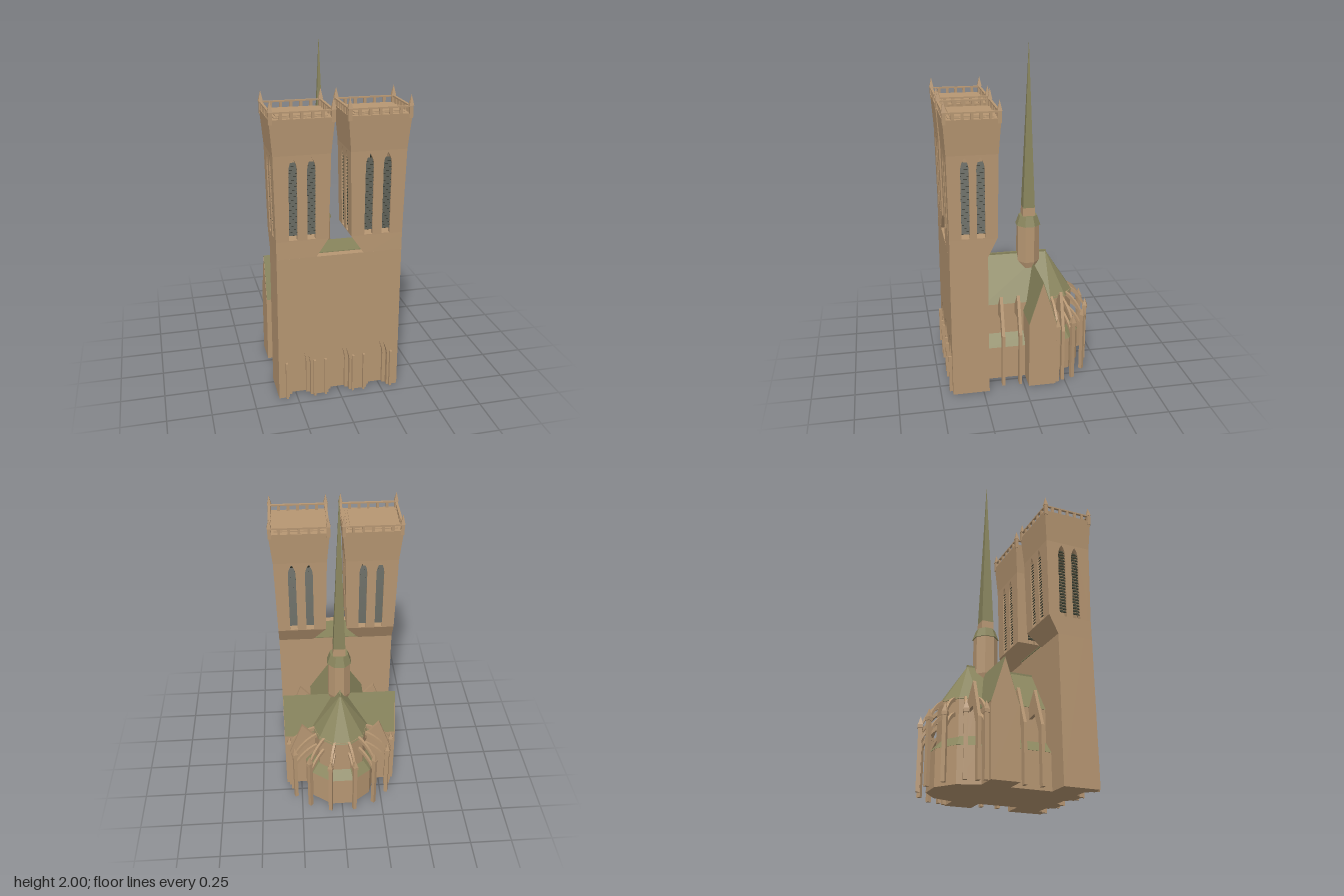
import * as THREE from 'three';
import { mergeGeometries } from 'three/addons/utils/BufferGeometryUtils.js';

const material = (name, color) => Object.assign(new THREE.MeshStandardMaterial({ color }), { name });

export function createModel() {
  const stone = material('stone', 0xb69672);
  const roof = material('olive roof', 0x89855d);
  const louvre = material('dark louvre', 0x3a3d30);
  const model = new THREE.Group();

  const add = (name, geo, mat, parent = model) => {
    const g = geo.index ? geo.toNonIndexed() : geo;
    g.computeVertexNormals();
    const m = new THREE.Mesh(g, mat);
    m.name = name;
    parent.add(m);
    return m;
  };
  const group = (name, parent = model) => {
    const g = new THREE.Group();
    g.name = name;
    parent.add(g);
    return g;
  };
  const box = (x0, x1, y0, y1, z0, z1) =>
    new THREE.BoxGeometry(x1 - x0, y1 - y0, z1 - z0).translate((x0 + x1) / 2, (y0 + y1) / 2, (z0 + z1) / 2);
  // Block whose bottom and top rectangles [x0, x1, y, z0, z1] differ
  const taper = (b, t) => {
    const g = new THREE.BoxGeometry(1, 1, 1), p = g.attributes.position;
    for (let i = 0; i < p.count; i++) {
      const r = p.getY(i) > 0 ? t : b;
      p.setXYZ(i, p.getX(i) > 0 ? r[1] : r[0], r[2], p.getZ(i) > 0 ? r[4] : r[3]);
    }
    return g;
  };
  const extrude = (shape, z0, z1) =>
    new THREE.ExtrudeGeometry(shape, { depth: z1 - z0, bevelEnabled: false, curveSegments: 6 }).translate(0, 0, z0);
  const poly = (pts) => new THREE.Shape(pts.map(([x, y]) => new THREE.Vector2(x, y)));
  const pyramid = (r, y0, y1, sides = 4, top = 0) =>
    new THREE.CylinderGeometry(top, r, y1 - y0, sides).rotateY(Math.PI / sides).translate(0, (y0 + y1) / 2, 0);
  // Draws a pointed arch from its left foot to its right foot
  const arch = (path, cx, w, foot, spring, top) => {
    const mid = spring + (top - spring) * 0.6;
    path.lineTo(cx - w, foot).lineTo(cx - w, spring).quadraticCurveTo(cx - w * 0.9, mid, cx, top);
    path.quadraticCurveTo(cx + w * 0.9, mid, cx + w, spring).lineTo(cx + w, foot);
  };

  // West front with three stepped portals
  const front = group('westFront');
  add('frontBlock', box(-0.355, 0.355, 0, 0.87, 0.215, 0.38), stone, front);
  for (const [w, top, z0, z1] of [[0.042, 0.305, 0.38, 0.4], [0.062, 0.33, 0.4, 0.43]]) {
    const s = new THREE.Shape().moveTo(-0.355, 0);
    for (const cx of [-0.23, 0, 0.23]) arch(s, cx, w, 0, 0.2, top);
    s.lineTo(0.355, 0).lineTo(0.355, 0.87).lineTo(-0.355, 0.87);
    add('portalWall', extrude(s, z0, z1), stone, front);
  }
  for (const x of [-0.31, -0.147, -0.082, 0.082, 0.147, 0.31])
    add('portalPilaster', box(x - 0.006, x + 0.006, 0, 0.23, 0.425, 0.448), stone, front);
  add('frontRoof', box(-0.14, 0.14, 0.868, 0.874, 0.21, 0.385), roof, front);

  // Belfry stage: four flaring walls pierced by louvred windows
  const Y0 = 0.97, H = 0.48, CZ = 0.294;
  const HX = [0.146, 0.156, 0.174], HZ = [0.134, 0.141, 0.154];
  const lerp = THREE.MathUtils.lerp;
  const belfryWall = (parent, half, dist, u, turn) => {
    const s = poly([[-half[0], 0], [half[0], 0], [half[1], H], [-half[1], H]]);
    for (const cx of [-u, u]) {
      const hole = new THREE.Path().moveTo(cx + 0.023, 0.005);
      arch(hole, cx, 0.023, 0.005, 0.4, 0.467);
      s.holes.push(hole);
    }
    const g = extrude(s, -0.025, 0), p = g.attributes.position;
    for (let i = 0; i < p.count; i++) p.setZ(i, p.getZ(i) + lerp(dist[0], dist[1], p.getY(i) / H));
    add('belfryWall', g.rotateY(turn), stone, parent);
    const slats = [];
    for (const cx of [-u, u]) for (let i = 0; i < 22; i++) {
      const y = 0.04 + i * 0.0185;
      slats.push(new THREE.BoxGeometry(0.05, 0.004, 0.021).rotateX(1)
        .translate(cx, y, lerp(dist[0], dist[1], y / H) - 0.013));
    }
    add('louvres', mergeGeometries(slats).rotateY(turn), louvre, parent);
  };

  // Twin towers
  for (const s of [-1, 1]) {
    const tower = group(s > 0 ? 'leftTower' : 'rightTower');
    const xs = (a, b) => (s > 0 ? [a, b] : [-b, -a]);
    const rect = (inner, outer, y, z0, z1) => [...xs(inner, outer), y, z0, z1];
    add('towerFoot', taper(rect(0.14, 0.355, 0.86, 0.215, 0.43), rect(0.064, 0.356, Y0, 0.16, 0.428)), stone, tower);

    const top = group('towerTop', tower);
    top.position.set(0.21 * s, 0, CZ);
    const belfry = group('belfry', top);
    belfry.position.y = Y0;
    for (const k of [0, 1]) {
      belfryWall(belfry, HX, HZ, 0.05, k * Math.PI);
      belfryWall(belfry, HZ, HX, 0.043, Math.PI / 2 + k * Math.PI);
    }
    add('towerCrown', taper([-HX[1], HX[1], Y0 + H, -HZ[1], HZ[1]],
      [-HX[2], HX[2], 1.645, -HZ[2], HZ[2]]), stone, top);
    add('roofStep', box(-0.142, 0.142, 1.64, 1.65, -0.123, 0.123), stone, top);
    add('roofPanel', box(-0.128, 0.128, 1.64, 1.655, -0.109, 0.109), stone, top);

    // Openwork parapet
    for (const k of [-1, 1]) {
      const x = k * (HX[2] - 0.008), z = k * (HZ[2] - 0.008);
      add('parapetRail', box(-HX[2], HX[2], 1.677, 1.685, z - 0.007, z + 0.007), stone, top);
      add('parapetRail', box(x - 0.007, x + 0.007, 1.677, 1.685, -HZ[2], HZ[2]), stone, top);
      for (let i = -2; i <= 2; i++) {
        const px = i * 0.056, pz = i * 0.05;
        add('parapetPost', box(px - 0.008, px + 0.008, 1.64, 1.68, z - 0.006, z + 0.006), stone, top);
        add('parapetPost', box(x - 0.006, x + 0.006, 1.64, 1.68, pz - 0.008, pz + 0.008), stone, top);
      }
      // Corner pinnacles
      for (const j of [-1, 1]) {
        const pin = group('pinnacle', top);
        pin.position.set(k * (HX[2] - 0.008), 0, j * (HZ[2] - 0.008));
        add('pinnacleShaft', box(-0.01, 0.01, 1.62, 1.685, -0.01, 0.01), stone, pin);
        add('pinnacleTip', pyramid(0.018, 1.685, 1.745), stone, pin);
      }
    }
  }

  // Nave and aisles
  const nave = group('nave');
  add('naveWalls', box(-0.165, 0.165, 0, 0.475, -0.19, 0.22), stone, nave);
  add('naveRoof', extrude(poly([[-0.17, 0.47], [0.17, 0.47], [0, 0.73]]), -0.19, 0.22), roof, nave);
  add('naveRidge', box(-0.005, 0.005, 0.722, 0.734, -0.195, 0.22), roof, nave);
  add('aisleWalls', box(-0.222, 0.222, 0, 0.21, -0.18, 0.22), stone, nave);
  add('aisleRoof', extrude(poly([[-0.225, 0.21], [0.225, 0.21], [0.164, 0.278], [-0.164, 0.278]]), -0.18, 0.22), roof, nave);

  // Transept
  const transept = group('transept');
  const gable = (grow) => poly([[-0.08 - grow, 0.41], [0.08 + grow, 0.41], [0, 0.665 + grow * 3]]);
  add('transeptWalls', box(-0.345, 0.345, 0, 0.412, -0.187, -0.025), stone, transept);
  add('transeptGables', extrude(gable(0), -0.345, 0.345).rotateY(Math.PI / 2).translate(0, 0, -0.106), stone, transept);
  add('transeptRoof', extrude(gable(0.003), -0.343, 0.343).rotateY(Math.PI / 2).translate(0, 0, -0.106), roof, transept);

  // Apse: half decagons
  const apse = group('apse');
  const half = (name, rTop, rBottom, y0, y1, z, mat) =>
    add(name, new THREE.CylinderGeometry(rTop, rBottom, y1 - y0, 5, 1, false, Math.PI / 2, Math.PI)
      .translate(0, (y0 + y1) / 2, z), mat, apse);
  half('ambulatoryWall', 0.22, 0.22, 0, 0.205, -0.18, stone);
  half('ambulatoryRoof', 0.162, 0.222, 0.205, 0.275, -0.18, roof);
  half('apseWall', 0.164, 0.164, 0, 0.485, -0.19, stone);
  half('apseRoof', 0, 0.169, 0.475, 0.73, -0.19, roof);

  // Side buttress fins
  for (const s of [-1, 1]) for (const z of [0.122, 0.02, -0.238]) {
    const fin = [[0.16, 0.46], [0.235, 0.55], [0.315, 0.33], [0.315, 0], [0.28, 0], [0.28, 0.3], [0.235, 0.41], [0.16, 0.4]];
    add('sideButtress', extrude(poly(fin.map(([x, y]) => [x * s, y])), z - 0.009, z + 0.009), stone);
  }

  // Radiating flying buttresses: wall point and pier point
  const fliers = [[0.16, -0.198, 0.317, -0.202], [0.15, -0.258, 0.287, -0.302],
    [0.105, -0.3, 0.198, -0.385], [0.042, -0.34, 0.074, -0.433]];
  for (const s of [-1, 1]) for (const [x0, z0, x1, z1] of fliers) {
    const f = group('flyingButtress');
    const dx = (x1 - x0) * s, dz = z1 - z0, L = Math.hypot(dx, dz);
    f.position.set(x0 * s, 0, z0);
    f.rotation.y = -Math.atan2(dz, dx);
    for (const drop of [0, 0.085]) {
      const strut = new THREE.Shape().moveTo(0, 0.49 - drop).quadraticCurveTo(L * 0.65, 0.46 - drop, L, 0.37 - drop);
      strut.lineTo(L, 0.345 - drop).quadraticCurveTo(L * 0.6, 0.44 - drop, 0, 0.465 - drop);
      add('strut', extrude(strut, -0.007, 0.007), stone, f);
    }
    add('pier', box(L - 0.011, L + 0.011, 0, 0.37, -0.011, 0.011), stone, f);
    add('pierCollar', box(L - 0.015, L + 0.015, 0.35, 0.37, -0.015, 0.015), stone, f);
    add('pierPinnacle', pyramid(0.02, 0.37, 0.42).translate(L, 0, 0), stone, f);
  }

  // Crossing lantern and spire
  const lantern = group('crossingSpire');
  lantern.position.z = -0.082;
  add('lanternFoot', pyramid(0.05, 0.6, 0.68, 8, 0.072), stone, lantern);
  add('lanternBody', pyramid(0.072, 0.68, 0.91, 8, 0.07), stone, lantern);
  add('lanternCap', pyramid(0.077, 0.91, 0.97, 8, 0.056), roof, lantern);
  add('spireBase', pyramid(0.053, 0.96, 1.02, 4, 0.05), stone, lantern);
  add('spire', pyramid(0.05, 1.02, 2), roof, lantern);

  return model;
}
